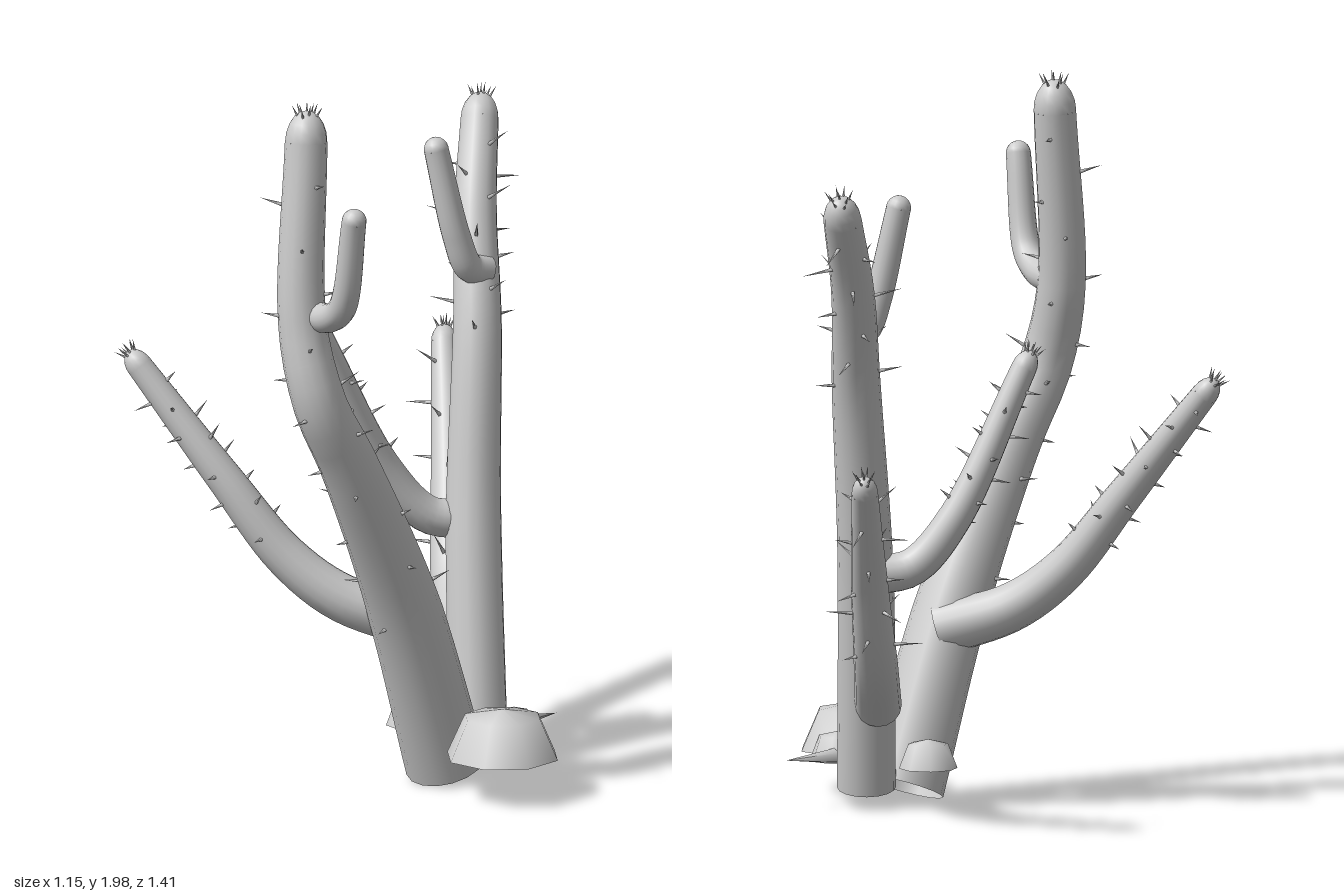
import * as THREE from 'three';
import { mergeGeometries } from 'three/addons/utils/BufferGeometryUtils.js';

const material = new THREE.MeshStandardMaterial({ color: 0xcccccc, side: THREE.DoubleSide });
const UP = new THREE.Vector3(0, 1, 0);
const SIDES = 16, RINGS = 32;

const point = (x, y, z) => new THREE.Vector3(x, y, z);

// Small seeded generator for the spine scatter
function seeded(seed) {
  let s = seed * 7919 + 17;
  return () => (s = (s * 16807) % 2147483647) / 2147483647;
}

// Orients a geometry built along +y to a direction and moves it to a point
function place(geometry, position, direction) {
  const q = new THREE.Quaternion().setFromUnitVectors(UP, direction);
  return geometry.applyQuaternion(q).translate(position.x, position.y, position.z);
}

// Radius along the stem, interpolated between evenly spaced values
function radiusAt(radii, u) {
  const f = u * (radii.length - 1);
  const i = Math.min(Math.floor(f), radii.length - 2);
  return THREE.MathUtils.lerp(radii[i], radii[i + 1], f - i);
}

// Direction square to the stem, turned by an angle around it
function outward(tangent, angle) {
  return new THREE.Vector3(1, 0, 0).cross(tangent).normalize().applyAxisAngle(tangent, angle);
}

// Tapered tube with an open foot and a domed tip
function stemGeometry(curve, radii, domeStretch) {
  const tube = new THREE.TubeGeometry(curve, RINGS, 1, SIDES, false);
  const pos = tube.attributes.position;
  const v = new THREE.Vector3();
  for (let i = 0; i <= RINGS; i++) {
    const centre = curve.getPointAt(i / RINGS);
    const radius = radiusAt(radii, i / RINGS);
    for (let j = 0; j <= SIDES; j++) {
      const k = i * (SIDES + 1) + j;
      v.fromBufferAttribute(pos, k).sub(centre).multiplyScalar(radius).add(centre);
      pos.setXYZ(k, v.x, v.y, v.z);
    }
  }
  const dome = new THREE.SphereGeometry(radiusAt(radii, 1), SIDES, 5, 0, Math.PI * 2, 0, Math.PI / 2);
  dome.scale(1, domeStretch, 1);
  place(dome, curve.getPointAt(1), curve.getTangentAt(1));
  return mergeGeometries([tube, dome]);
}

// Thin cone with its foot slightly sunk in the skin
function spine(foot, direction, length, width) {
  const cone = new THREE.ConeGeometry(width, length, 5).translate(0, length * 0.42, 0);
  return place(cone, foot, direction);
}

// Spines spiralling along a stem, plus a small crown at the tip
function spineGeometry(curve, radii, { count, from, length }) {
  const rand = seeded(count);
  const list = [];
  for (let i = 0; i < count; i++) {
    const u = from + (0.98 - from) * (i + rand() * 0.6) / count;
    const tangent = curve.getTangentAt(u);
    const out = outward(tangent, i * 2.4 + rand() * 0.6);
    const foot = curve.getPointAt(u).addScaledVector(out, radiusAt(radii, u));
    const lean = out.addScaledVector(tangent, 0.15 + rand() * 0.15).normalize();
    list.push(spine(foot, lean, length * (0.6 + rand() * 0.8), 0.006));
  }
  const radius = radiusAt(radii, 1), axis = curve.getTangentAt(1);
  const crown = curve.getPointAt(1).addScaledVector(axis, radius * 0.4);
  for (let i = 0; i < 9; i++) {
    const spread = i && 0.3 + 0.05 * i;
    const dir = axis.clone().addScaledVector(outward(axis, i * 2.4), spread).normalize();
    list.push(spine(crown.clone().addScaledVector(dir, radius), dir, 0.035, 0.004));
  }
  return mergeGeometries(list);
}

function makeMesh(name, geometry) {
  const mesh = new THREE.Mesh(geometry, material);
  mesh.name = name;
  return mesh;
}

// One stem through the given points, with radii from foot to tip
function makeStem(name, radii, points, spines) {
  const curve = new THREE.CatmullRomCurve3(points, false, 'centripetal');
  const group = new THREE.Group();
  group.name = name;
  group.add(makeMesh(name + 'Skin', stemGeometry(curve, radii, spines ? 1.5 : 1)));
  if (spines) group.add(makeMesh(name + 'Spines', spineGeometry(curve, radii, spines)));
  return group;
}

// Low eight-sided stone with sloping sides, hollow underneath
function makeStone(name, x, z, radius, height, turn) {
  const profile = [
    new THREE.Vector2(radius, 0),
    new THREE.Vector2(radius * 0.68, height * 0.84),
    new THREE.Vector2(0, height),
  ];
  const stone = makeMesh(name, new THREE.LatheGeometry(profile, 8));
  stone.position.set(x, 0.12, z);
  stone.rotation.y = turn;
  return stone;
}

export function createModel() {
  const model = new THREE.Group();
  model.name = 'cactus';

  // Two leaning trunks
  model.add(makeStem('frontTrunk', [0.112, 0.102, 0.081, 0.066, 0.058], [
    point(0.18, 0.047, 0.087), point(0.18, 0.55, 0.285), point(0.168, 0.97, 0.5),
    point(0.143, 1.16, 0.597), point(0.09, 1.38, 0.605), point(0.06, 1.87, 0.55),
  ], { count: 26, from: 0.25, length: 0.05 }));
  model.add(makeStem('backTrunk', [0.08, 0.077, 0.067, 0.052], [
    point(0.185, 0.06, -0.05), point(0.085, 0.7, -0.155), point(0.02, 1.2, -0.255),
    point(-0.062, 1.47, -0.35), point(-0.14, 1.69, -0.468),
  ], { count: 18, from: 0.66, length: 0.075 }));

  // Spiny arms
  model.add(makeStem('backArm', [0.064, 0.06, 0.05, 0.036], [
    point(0.09, 0.3, -0.1), point(-0.11, 0.455, -0.31),
    point(-0.25, 0.71, -0.475), point(-0.397, 0.985, -0.64),
  ], { count: 20, from: 0.35, length: 0.065 }));
  model.add(makeStem('sideArm', [0.074, 0.036], [
    point(0.16, 0.47, 0.21), point(0, 0.535, 0.325), point(-0.13, 0.645, 0.398),
    point(-0.28, 0.85, 0.472), point(-0.51, 1.147, 0.555),
  ], { count: 21, from: 0.45, length: 0.045 }));
  model.add(makeStem('smallArm', [0.055, 0.035], [
    point(0.06, 0.665, -0.15), point(-0.01, 0.685, -0.07),
    point(-0.085, 0.82, 0.02), point(-0.17, 1.22, 0.2),
  ], { count: 17, from: 0.4, length: 0.045 }));

  // Smooth twigs
  model.add(makeStem('frontTwig', [0.042, 0.034], [
    point(0.1, 1.4, 0.58), point(0.19, 1.41, 0.615),
    point(0.258, 1.46, 0.64), point(0.32, 1.715, 0.67),
  ]));
  model.add(makeStem('backTwig', [0.042, 0.034], [
    point(0.02, 1.33, -0.29), point(0.01, 1.35, -0.23),
    point(-0.005, 1.44, -0.195), point(-0.048, 1.685, -0.16),
  ]));

  // Stones around the foot
  model.add(makeStone('largeStone', 0.425, 0.15, 0.158, 0.132, 0.35));
  model.add(makeStone('smallStoneRight', 0.308, -0.035, 0.08, 0.08, 0.5));
  model.add(makeStone('smallStoneLeft', 0.023, 0.025, 0.08, 0.08, 0.1));

  // Large thorn beside the small stone
  const thornDirection = point(0.22, 0, -1).normalize();
  model.add(makeMesh('groundThorn', spine(point(0.27, 0.14, -0.1), thornDirection, 0.16, 0.022)));

  return model;
}
